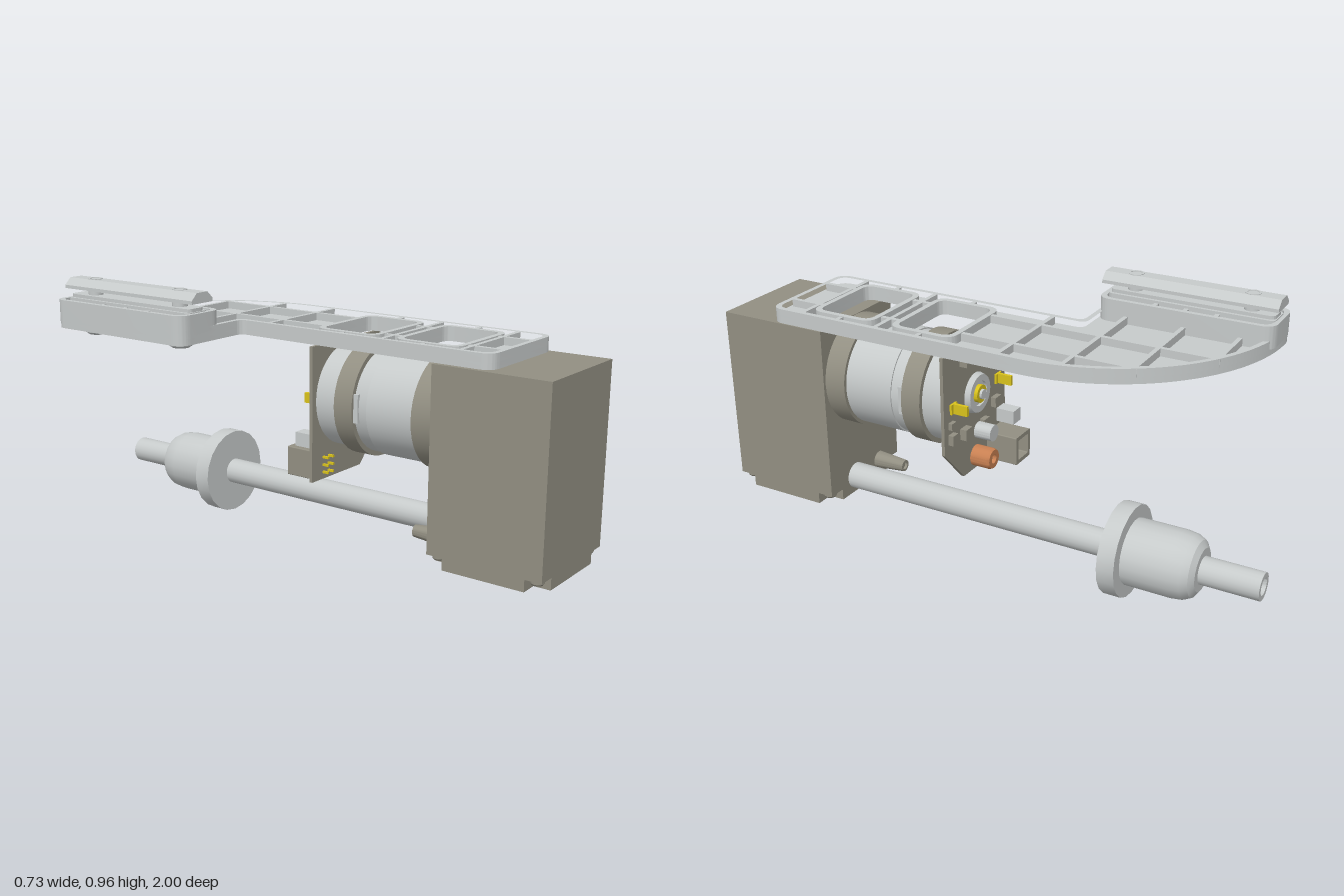
import * as THREE from 'three';
import { toCreasedNormals } from 'three/addons/utils/BufferGeometryUtils.js';

const paint = (name, color) => {
  const m = new THREE.MeshStandardMaterial({ color });
  m.name = name;
  return m;
};

export function createModel() {
  const root = new THREE.Group();
  root.name = 'gearMotorWithBracket';
  const silver = paint('silver', 0xc6caca), taupe = paint('taupe', 0x928f82);
  const yellow = paint('yellow', 0xd9c21c), copper = paint('copper', 0xc88052);

  const add = (name, geo, mat, x = 0, y = 0, z = 0) => {
    const m = new THREE.Mesh(geo, mat);
    m.name = name;
    m.position.set(x, y, z);
    root.add(m);
    return m;
  };
  // box from minimum and maximum corners
  const box = (name, mat, x0, x1, y0, y1, z0, z1) =>
    add(name, new THREE.BoxGeometry(x1 - x0, y1 - y0, z1 - z0), mat, (x0 + x1) / 2, (y0 + y1) / 2, (z0 + z1) / 2);
  // turned part; profile is [radius, height], axis along y or z
  const turn = (name, mat, pts, x, y, z, alongZ = false, seg = 40) => {
    let g = new THREE.LatheGeometry(pts.map(p => new THREE.Vector2(...p)), seg);
    if (alongZ) g.rotateX(Math.PI / 2);
    return add(name, toCreasedNormals(g, 0.5), mat, x, y, z);
  };
  const disc = (name, mat, r, x, y, z0, z1, seg = 40) =>
    turn(name, mat, [[0, z0], [r, z0], [r, z1], [0, z1]], x, y, 0, true, seg);
  // horizontal slab from a shape drawn in (x, z)
  const slab = (name, mat, shape, y0, y1) => {
    const g = new THREE.ExtrudeGeometry(shape, { depth: y1 - y0, bevelEnabled: false, curveSegments: 20 });
    g.rotateX(Math.PI / 2);
    return add(name, toCreasedNormals(g, 0.5), mat, 0, y1, 0);
  };
  const roundRect = (x0, x1, z0, z1, r) => {
    const s = new THREE.Shape();
    s.moveTo(x0 + r, z0);
    s.lineTo(x1 - r, z0); s.quadraticCurveTo(x1, z0, x1, z0 + r);
    s.lineTo(x1, z1 - r); s.quadraticCurveTo(x1, z1, x1 - r, z1);
    s.lineTo(x0 + r, z1); s.quadraticCurveTo(x0, z1, x0, z1 - r);
    s.lineTo(x0, z0 + r); s.quadraticCurveTo(x0, z0, x0 + r, z0);
    return s;
  };

  // Gearbox with notched lower corners and a screw in each notch
  const gx0 = -0.066, gx1 = 0.356;
  box('gearbox', taupe, gx0, gx1, 0.138, 0.78, 0.58, 1);
  const foot = new THREE.Shape();
  const fx = gx0 + 0.065, fX = gx1 - 0.065;
  [[fx, 0.58], [fX, 0.58], [fX, 0.64], [gx1, 0.64], [gx1, 0.94], [fX, 0.94],
    [fX, 1], [fx, 1], [fx, 0.94], [gx0, 0.94], [gx0, 0.64], [fx, 0.64]]
    .forEach(([x, z], i) => (i ? foot.lineTo(x, z) : foot.moveTo(x, z)));
  slab('gearboxFoot', taupe, foot, 0.096, 0.138);
  for (const x of [gx0 + 0.032, gx1 - 0.032]) for (const z of [0.611, 0.969])
    turn('cornerScrew', taupe, [[0, 0.128], [0.01, 0.128], [0.01, 0.12], [0.019, 0.12], [0.023, 0.126], [0.023, 0.14]], x, 0, z, false, 16);
  turn('gearboxStub', taupe, [[0, 0.47], [0.014, 0.47], [0.014, 0.46], [0.022, 0.46], [0.032, 0.58]], 0.055, 0.16, 0, true, 20);

  // Motor
  const mx = 0.145, my = 0.578;
  disc('motorFlange', taupe, 0.201, mx, my, 0.5, 0.58);
  disc('motorBody', silver, 0.189, mx, my, 0.315, 0.5);
  disc('motorCan', silver, 0.184, mx, my, 0.1, 0.315);
  disc('motorBand', taupe, 0.201, mx, my, 0.19, 0.264);
  for (const s of [-1, 1]) box('canTab', silver, mx + s * 0.184 - 0.006, mx + s * 0.184 + 0.006, 0.53, 0.63, 0.262, 0.282);

  // Circuit board with clipped lower corner and its components
  const board = new THREE.Shape();
  [[-0.06, 0.29], [0.23, 0.29], [0.35, 0.42], [0.35, 0.775], [-0.06, 0.775]]
    .forEach(([x, y], i) => (i ? board.lineTo(x, y) : board.moveTo(x, y)));
  add('circuitBoard', new THREE.ExtrudeGeometry(board, { depth: 0.012, bevelEnabled: false }), taupe, 0, 0, 0.09);
  turn('motorHub', silver, [[0.045, 0.09], [0.045, 0.07], [0.068, 0.07], [0.074, 0.09]], mx, my, 0, true);
  disc('hubDisc', silver, 0.046, mx, my, 0.08, 0.092);
  turn('hubBush', yellow, [[0.018, 0.082], [0.018, 0.064], [0.032, 0.064], [0.032, 0.082]], mx, my, 0, true, 24);
  disc('motorTip', silver, 0.018, mx, my, 0.055, 0.09, 20);
  for (const s of [-1, 1]) {
    box('terminalTab', yellow, mx + s * 0.15 - 0.006, mx + s * 0.15 + 0.006, 0.56, 0.596, 0.03, 0.09);
    box('terminalBase', yellow, mx + s * 0.15 - 0.018, mx + s * 0.15 + 0.018, 0.56, 0.596, 0.082, 0.09);
  }
  const parts = [[0.2, 0.74, 0.045, 0.03, 0.03], [0.31, 0.47, 0.016, 0.018, 0.02], [0.31, 0.52, 0.014, 0.012, 0.015],
    [0.23, 0.46, 0.02, 0.02, 0.025], [0.0, 0.68, 0.012, 0.012, 0.01], [0.02, 0.5, 0.02, 0.018, 0.02], [0.1, 0.45, 0.018, 0.015, 0.02]];
  for (const [x, y, w, h, d] of parts) box('chip', taupe, x - w, x + w, y - h, y + h, 0.09 - d, 0.09);
  box('capacitorBlock', silver, -0.05, 0.0, 0.41, 0.46, 0.02, 0.09);
  disc('capacitor', silver, 0.03, 0.13, 0.43, 0.025, 0.09, 20);
  turn('copperCoil', copper, [[0.016, 0.09], [0.016, 0.015], [0.034, 0.015], [0.038, 0.025], [0.038, 0.09]], 0.15, 0.34, 0, true, 24);
  disc('coilCore', taupe, 0.016, 0.15, 0.34, 0.03, 0.09, 16);
  // Socket: open-ended shell with pins
  const socket = roundRect(-0.03, 0.07, 0.29, 0.395, 0.004);
  socket.holes.push(roundRect(-0.015, 0.055, 0.305, 0.38, 0.004));
  add('socketShell', new THREE.ExtrudeGeometry(socket, { depth: 0.12, bevelEnabled: false }), taupe, 0, 0, -0.03);
  for (const y of [0.315, 0.342, 0.37]) for (const x of [0.005, 0.035])
    box('socketPin', yellow, x - 0.004, x + 0.004, y - 0.004, y + 0.004, 0.0, 0.125);

  // Output shaft with flanged, domed hub and hollow tip
  turn('shaftAndHub', silver, [[0, -0.97], [0.03, -0.97], [0.03, -1], [0.048, -1], [0.048, -0.795], [0.075, -0.795],
    [0.098, -0.78], [0.111, -0.755], [0.116, -0.715], [0.116, -0.55], [0.161, -0.55], [0.161, -0.488],
    [0.048, -0.488], [0.048, 0.58]], 0.205, 0.161, 0, true, 20);

  // Bracket outline inset by d: straight arm, rounded tail, side pad
  const cx = -0.305, cz = -0.19, R = 0.66;
  const outline = d => {
    const s = new THREE.Shape(), r = 0.05 - d * 0.6;
    const x0 = -0.056 + d, x1 = cx + R - d, zf = 0.79 - d, zn = -0.22 - d, xl = -0.365 + d, zb = cz - R + d;
    s.moveTo(x1 - r, zf); s.quadraticCurveTo(x1, zf, x1, zf - r);
    s.lineTo(x1, cz); s.absarc(cx, cz, R - d, 0, -Math.PI / 2, true);
    s.quadraticCurveTo(xl, zb, xl, zb + r);
    s.lineTo(xl, zn - r); s.quadraticCurveTo(xl, zn, xl + r, zn);
    s.lineTo(x0 - 0.03, zn); s.quadraticCurveTo(x0, zn, x0, zn + 0.03);
    s.lineTo(x0, zf - r); s.quadraticCurveTo(x0, zf, x0 + r, zf);
    return s;
  };
  const y0 = 0.782, yFloor = 0.805, yTop = 0.834;
  const windows = [[0.1, 0.31], [0.42, 0.63]];
  const hole = ([a, b]) => roundRect(0, 0.29, a, b, 0.035);
  const floor = outline(0);
  floor.holes.push(...windows.map(hole));
  slab('bracketFloor', silver, floor, y0, yFloor);
  const rim = outline(0);
  rim.holes.push(outline(0.018));
  slab('bracketRim', silver, rim, yFloor, yTop);
  for (const w of windows) {
    const s = roundRect(-0.02, 0.31, w[0] - 0.02, w[1] + 0.02, 0.05);
    s.holes.push(hole(w));
    slab('windowRim', silver, s, yFloor, yTop);
  }

  // Stiffening ribs, trimmed to the rounded tail
  const rib = (xa, xb, za, zb) => box('rib', silver, xa, xb, yFloor, yTop - 0.002, za, zb);
  const h = 0.008, reach = v => Math.sqrt(R * R - v * v) - 0.01;
  for (const z of [-0.74, -0.54, -0.33]) rib(-0.17, cx + reach(z - cz), z - h, z + h);
  for (const z of [-0.11, 0.365, 0.665]) rib(-0.045, 0.345, z - h, z + h);
  for (const x of [0.045, 0.24])
    for (const [a, b] of [[cz - reach(x - cx), 0.082], [0.33, 0.4], [0.65, 0.78]]) rib(x - h, x + h, a, b);
  for (const z of [0.2, 0.52]) { rib(-0.045, -0.012, z - h, z + h); rib(0.302, 0.345, z - h, z + h); }

  // Raised clamp pad
  const pad = roundRect(-0.365, -0.16, -0.85, -0.22, 0.05);
  pad.holes.push(roundRect(-0.347, -0.178, -0.832, -0.238, 0.04));
  slab('padWall', silver, pad, yFloor, 0.885);
  slab('padFloor', silver, roundRect(-0.355, -0.17, -0.84, -0.23, 0.04), yFloor, 0.845);
  slab('padRidge', silver, roundRect(-0.315, -0.212, -0.835, -0.235, 0.02), 0.84, 0.888);
  slab('padRidgeCap', silver, roundRect(-0.303, -0.224, -0.83, -0.24, 0.02), 0.888, 0.9);
  for (const z of [-0.64, -0.53, -0.42]) box('padRib', silver, -0.35, -0.175, 0.84, 0.88, z - h, z + h);

  // Sliding clamp bar with bolts
  const bar = new THREE.Shape();
  [[-0.315, 0.92], [-0.21, 0.92], [-0.21, 0.932], [-0.236, 0.957], [-0.289, 0.957], [-0.315, 0.932]]
    .forEach(([x, y], i) => (i ? bar.lineTo(x, y) : bar.moveTo(x, y)));
  add('clampBar', new THREE.ExtrudeGeometry(bar, { depth: 0.63, bevelEnabled: false }), silver, 0, 0, -0.845);
  for (const z of [-0.32, -0.74]) {
    turn('boltHead', silver, [[0, 0.768], [0.018, 0.768], [0.018, 0.755], [0.03, 0.755], [0.044, 0.764], [0.051, 0.783]], -0.262, 0, z, false, 24);
    turn('boltShank', silver, [[0.027, 0.88], [0.027, 0.959], [0.02, 0.959], [0.02, 0.957], [0, 0.957]], -0.262, 0, z, false, 20);
  }
  return root;
}
